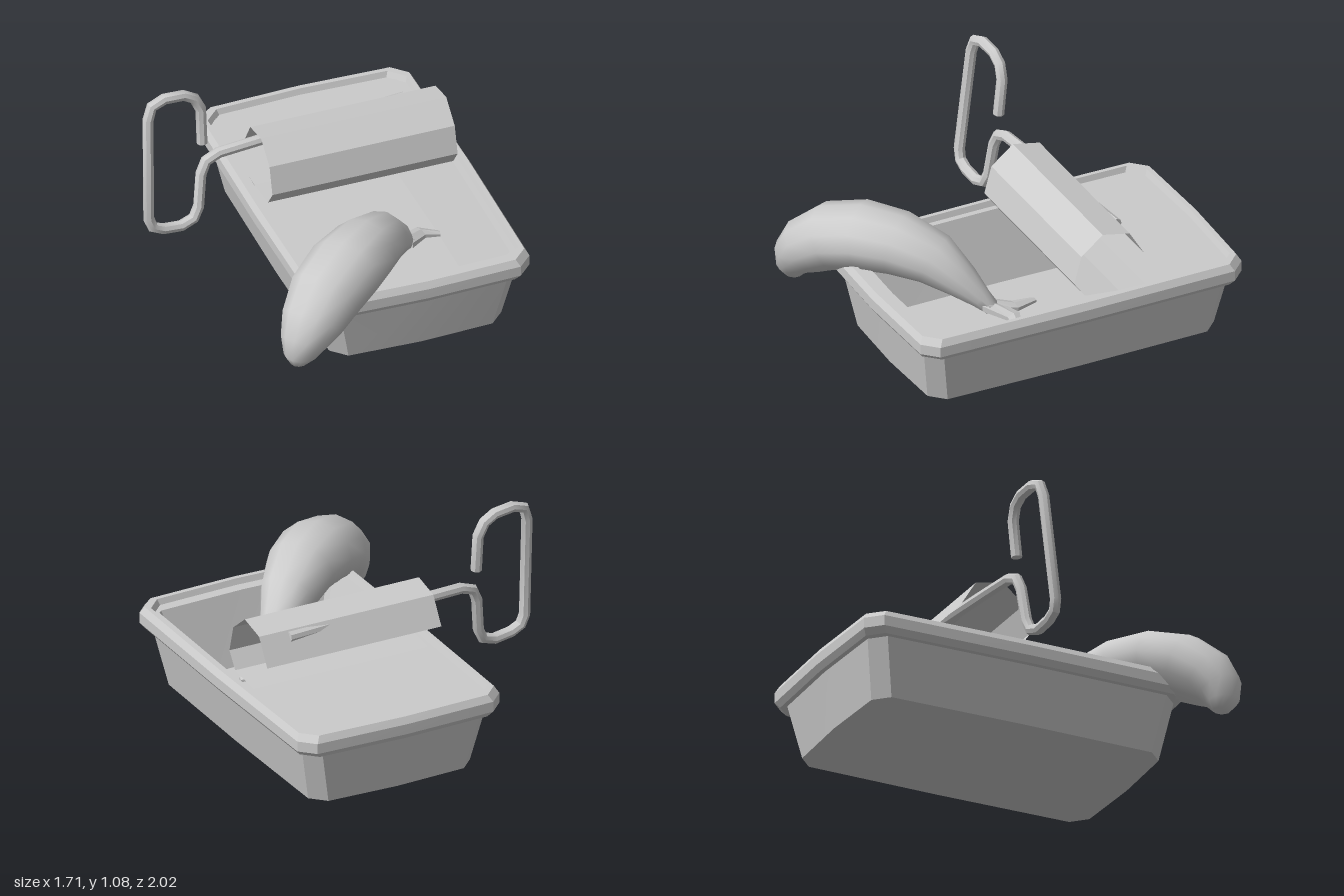
import * as THREE from 'three';
import { toCreasedNormals } from 'three/addons/utils/BufferGeometryUtils.js';

const V = (x, y, z) => new THREE.Vector3(x, y, z);
const grey = (opts = {}) => new THREE.MeshStandardMaterial({ color: 0xcccccc, ...opts });

// Skin a list of equal-length rings and close both ends
function loft(rings) {
  const n = rings[0].length, last = (rings.length - 1) * n, index = [];
  for (let i = 0; i < rings.length - 1; i++) {
    for (let j = 0; j < n; j++) {
      const a = i * n + j, b = i * n + (j + 1) % n;
      index.push(a, b, b + n, a, b + n, a + n);
    }
  }
  for (let j = 1; j < n - 1; j++) index.push(0, j + 1, j, last, last + j, last + j + 1);
  const geo = new THREE.BufferGeometry().setFromPoints(rings.flat());
  geo.setIndex(index);
  geo.computeVertexNormals();
  return geo;
}

// Sweep an ellipse along points; width lies along the fixed direction "side"
function sweep(points, widths, heights, sides, side) {
  const B = side.clone().normalize();
  return loft(points.map((p, i) => {
    const into = p.clone().sub(points[Math.max(i - 1, 0)]).normalize();
    const out = points[Math.min(i + 1, points.length - 1)].clone().sub(p).normalize();
    const T = into.add(out).normalize();
    const N = T.cross(B).normalize();
    return Array.from({ length: sides }, (_, j) => {
      const a = (j / sides) * Math.PI * 2;
      return p.clone().addScaledVector(B, Math.cos(a) * widths[i]).addScaledVector(N, Math.sin(a) * heights[i]);
    });
  }));
}

// Rectangle with cut corners and slightly bowed sides
function trayRing([hx, hz, y, c = 0.075]) {
  const bow = 0.016, x = hx - 0.008, z = hz - bow;
  const pts = [
    [hx, 0], [x, -(z - c)], [x - c, -z], [0, -hz], [c - x, -z], [-x, -(z - c)],
    [-hx, 0], [-x, z - c], [c - x, z], [0, hz], [x - c, z], [x, z - c],
  ];
  return pts.map(([px, pz]) => V(px + 0.27, y, pz - 0.085));
}

function createTray() {
  // half width, half depth, height, corner cut: up the outside, over the rim, down inside
  const rings = [
    [0.468, 0.818, 0], [0.53, 0.87, 0.3], [0.558, 0.895, 0.3], [0.582, 0.915, 0.33],
    [0.582, 0.915, 0.385], [0.562, 0.895, 0.42], [0.54, 0.87, 0.42], [0.53, 0.858, 0.39],
    [0.5, 0.8, 0.39, 0.02], [0.39, 0.695, 0.03, 0.02],
  ].map(trayRing);
  const tray = new THREE.Mesh(toCreasedNormals(loft(rings), 0.5), grey());
  tray.name = 'tray';
  return tray;
}

function createLid() {
  // Side profile [z, y] of the sheet, flat at the back and rolled up at the front
  const profile = [
    [-0.9, 0.392], [-0.45, 0.392], [-0.3, 0.395], [-0.11, 0.415], [-0.05, 0.5],
    [-0.09, 0.645], [-0.21, 0.742], [-0.36, 0.71], [-0.445, 0.57],
  ];
  const geo = new THREE.PlaneGeometry(0.99, 1, 1, profile.length - 1);
  const pos = geo.attributes.position;
  for (let i = 0; i < pos.count; i++) {
    const [z, y] = profile[Math.floor(i / 2)];
    pos.setXYZ(i, pos.getX(i) + 0.267, y, z);
  }
  geo.computeVertexNormals();
  const lid = new THREE.Mesh(geo, grey({ side: THREE.DoubleSide, flatShading: true }));
  lid.name = 'rolledLid';
  return lid;
}

function createKey() {
  // Bent wire lying in one tilted plane, its rod running inside the rolled lid
  const path = [
    [-0.517, 0.745], [-0.517, 0.94], [-0.55, 1.01], [-0.61, 1.045], [-0.715, 1.055],
    [-0.785, 1.03], [-0.808, 0.96], [-0.826, 0.4], [-0.805, 0.345], [-0.75, 0.318],
    [-0.65, 0.306], [-0.58, 0.33], [-0.55, 0.39], [-0.53, 0.57], [-0.5, 0.635],
    [-0.43, 0.662], [-0.2, 0.667], [0.6, 0.675],
  ].map(([x, y]) => V(x, y, -0.27 - 0.09 * (x + 0.5) - 0.1 * (y - 0.66)));
  const r = path.map(() => 0.029);
  const key = new THREE.Mesh(toCreasedNormals(sweep(path, r, r, 8, V(0.09, 0.1, 1)), 0.6), grey());
  key.name = 'windingKey';
  return key;
}

function createFish() {
  const fish = new THREE.Group();
  fish.name = 'fish';
  // Body arching from the tail root to the snout: x, y, z, half width, half height
  const body = [
    [0.385, 0.23, 0.215, 0.04, 0.04], [0.35, 0.28, 0.26, 0.055, 0.055],
    [0.28, 0.36, 0.33, 0.095, 0.09], [0.17, 0.46, 0.43, 0.145, 0.135],
    [0.03, 0.515, 0.56, 0.18, 0.16], [-0.12, 0.515, 0.68, 0.2, 0.17],
    [-0.27, 0.46, 0.79, 0.19, 0.17], [-0.37, 0.375, 0.87, 0.16, 0.15],
    [-0.42, 0.3, 0.905, 0.125, 0.12], [-0.445, 0.225, 0.91, 0.085, 0.085],
    [-0.45, 0.175, 0.9, 0.045, 0.045],
  ];
  const bodyMesh = new THREE.Mesh(sweep(
    body.map(([x, y, z]) => V(x, y, z)), body.map((b) => b[3]), body.map((b) => b[4]), 12, V(0.64, 0, 0.77)), grey());
  bodyMesh.name = 'fishBody';
  fish.add(bodyMesh);

  // Forked tail
  const lobes = [
    [V(0.37, 0.25, 0.24), V(0.4, 0.22, 0.1), V(0.36, 0.2, -0.03)],
    [V(0.37, 0.25, 0.24), V(0.49, 0.22, 0.15), V(0.585, 0.2, 0.165)],
  ];
  lobes.forEach((points, i) => {
    const fin = new THREE.Mesh(
      sweep(points, [0.03, 0.02, 0.012], [0.055, 0.045, 0.02], 6, V(0, 1, 0)), grey({ flatShading: true }));
    fin.name = i ? 'leftTailLobe' : 'rightTailLobe';
    fish.add(fin);
  });
  return fish;
}

export function createModel() {
  const model = new THREE.Group();
  model.name = 'fishTin';
  model.add(createTray(), createLid(), createKey(), createFish());
  return model;
}
